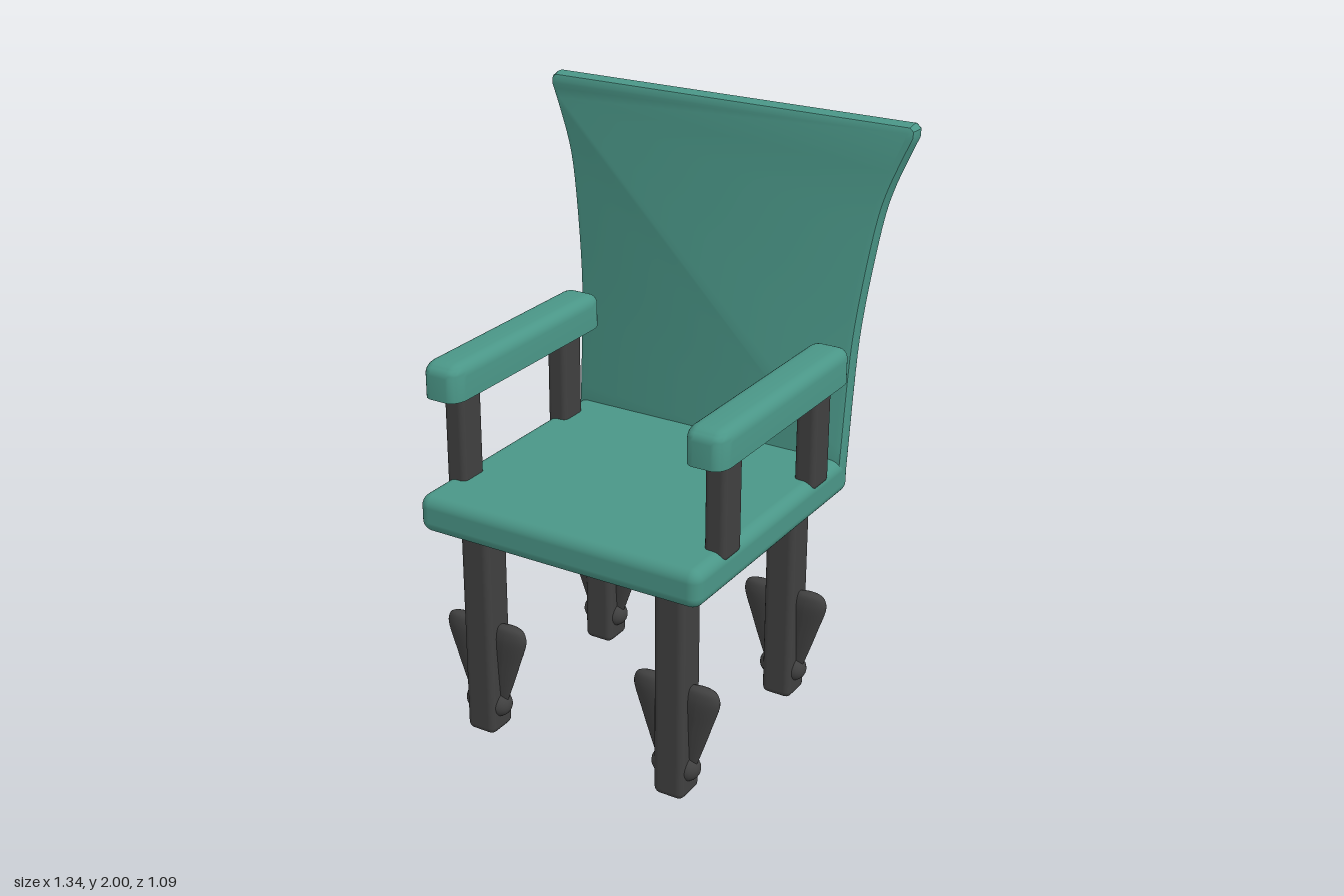
import * as THREE from 'three';
import { toCreasedNormals } from 'three/addons/utils/BufferGeometryUtils.js';
import { RoundedBoxGeometry } from 'three/addons/geometries/RoundedBoxGeometry.js';

const teal = new THREE.MeshStandardMaterial({ color: 0x4a9687 });
const dark = new THREE.MeshStandardMaterial({ color: 0x404040 });

function part(parent, name, geometry, material, x = 0, y = 0, z = 0) {
  const mesh = new THREE.Mesh(geometry, material);
  mesh.name = name;
  mesh.position.set(x, y, z);
  parent.add(mesh);
  return mesh;
}

// Moves every vertex by a rule
function deform(geometry, rule) {
  const p = geometry.attributes.position;
  const v = new THREE.Vector3();
  for (let i = 0; i < p.count; i++) {
    rule(v.fromBufferAttribute(p, i));
    p.setXYZ(i, v.x, v.y, v.z);
  }
  geometry.computeVertexNormals();
  return geometry;
}

// Flared, bevelled slab leaning backwards
function backrestGeometry() {
  const side = [[0.515, 0.83], [0.52, 1.15], [0.528, 1.32], [0.548, 1.5], [0.575, 1.68],
    [0.6, 1.78], [0.638, 1.88], [0.672, 1.96]].map(([x, y]) => new THREE.Vector2(x, y));
  const edge = new THREE.SplineCurve(side).getPoints(20);
  edge.push(new THREE.Vector2(0.672, 1.985), new THREE.Vector2(0.655, 2));
  const mirrored = edge.map((p) => new THREE.Vector2(-p.x, p.y)).reverse();
  const geometry = new THREE.ExtrudeGeometry(new THREE.Shape([...edge, ...mirrored]), {
    depth: 0.024, bevelThickness: 0.024, bevelSize: 0.025, bevelOffset: -0.025, bevelSegments: 2,
  });
  deform(geometry, (v) => { v.z += -0.427 - (v.y - 0.87) * 0.082; });
  return toCreasedNormals(geometry, 0.6);
}

// Pad with rounded top and flat underside
function armrestGeometry() {
  const geometry = new RoundedBoxGeometry(0.14, 0.18, 0.56, 4, 0.04);
  deform(geometry, (v) => {
    v.z *= 1.5;
    v.y = Math.max(v.y, -0.03);
  });
  return toCreasedNormals(geometry, 0.7);
}

// Flattened teardrop leaning outwards from the leg
function wingGeometry() {
  const profile = [[0, 0.06], [0.02, 0.1], [0.042, 0.2], [0.055, 0.27], [0.068, 0.34],
    [0.064, 0.375], [0.045, 0.398], [0, 0.406]].map(([x, y]) => new THREE.Vector2(x, y));
  const geometry = new THREE.LatheGeometry(new THREE.SplineCurve(profile).getPoints(24), 24);
  return deform(geometry, (v) => {
    v.x = Math.max(v.x, -0.068) + 0.033 + v.y * 0.148;
    v.z *= 0.43;
  });
}

export function createModel() {
  const chair = new THREE.Group();
  chair.name = 'armchair';

  part(chair, 'seat', new RoundedBoxGeometry(1.03, 0.13, 1.0, 4, 0.04), teal, 0, 0.81, 0.045);
  part(chair, 'backrest', backrestGeometry(), teal);

  const armrest = armrestGeometry();
  const post = new RoundedBoxGeometry(0.075, 0.35, 0.11, 2, 0.02);
  const legPost = new RoundedBoxGeometry(0.11, 0.77, 0.117, 2, 0.024);
  const wing = wingGeometry();
  const ball = new THREE.SphereGeometry(0.043, 20, 14);

  for (const s of [1, -1]) {
    const sideName = s > 0 ? 'left' : 'right';
    part(chair, `${sideName}Armrest`, armrest, teal, s * 0.475, 1.205, 0.045);

    for (const front of [true, false]) {
      const end = front ? 'Front' : 'Back';
      part(chair, `${sideName}${end}ArmPost`, post, dark, s * 0.478, 1.015, front ? 0.335 : -0.243);

      // Leg with a wing and a ball on both sides
      const leg = new THREE.Group();
      leg.name = `${sideName}${end}Leg`;
      leg.position.set(s * 0.363, 0, front ? 0.405 : -0.313);
      part(leg, 'legPost', legPost, dark, 0, 0.385, 0);
      for (const w of [1, -1]) {
        part(leg, 'wing', wing, dark).rotation.y = w > 0 ? 0 : Math.PI;
        part(leg, 'ankleBall', ball, dark, w * 0.042, 0.097, 0);
      }
      chair.add(leg);
    }
  }
  return chair;
}
